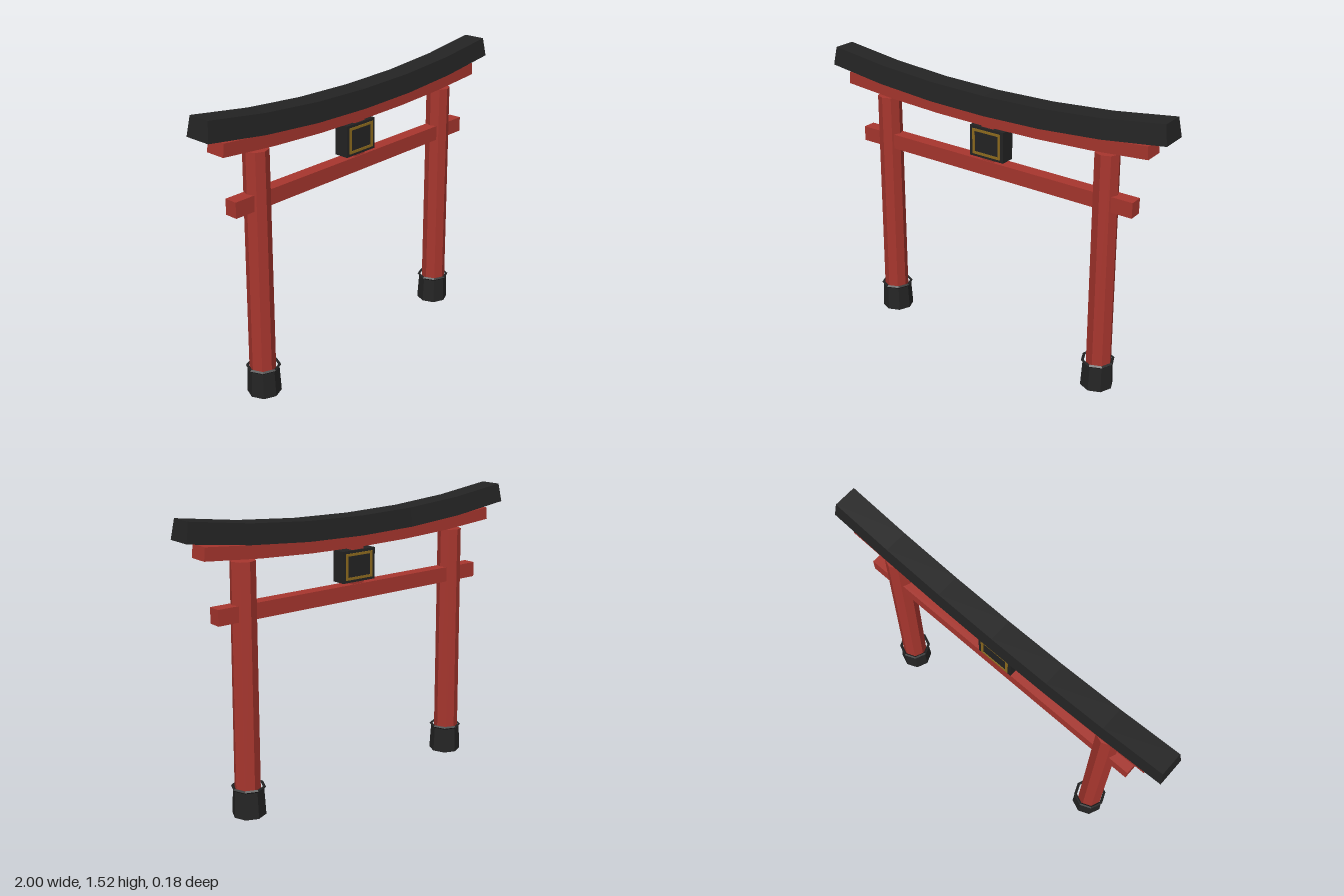
import * as THREE from 'three';

const mat = (name, color) => {
  const m = new THREE.MeshStandardMaterial({ color });
  m.name = name;
  return m;
};

export function createModel() {
  const red = mat('vermilion', 0xa8362e);
  const black = mat('black', 0x242424);
  const gold = mat('gold', 0x8f6c1e);
  const group = new THREE.Group();

  const add = (name, geometry, material, x = 0, y = 0, z = 0, parent = group) => {
    const mesh = new THREE.Mesh(geometry, material);
    mesh.name = name;
    mesh.position.set(x, y, z);
    parent.add(mesh);
    return mesh;
  };

  // Beam swept along an upward curve, cross-section kept square to the curve
  function curvedBeam({ half, y0, rise, power, height, zBottom, zTop, segments = 6 }) {
    const box = new THREE.BoxGeometry(2, 1, 2, segments, 1, 1);
    const p = box.attributes.position;
    for (let i = 0; i < p.count; i++) {
      const t = p.getX(i), up = p.getY(i) > 0;
      const slope = Math.sign(t) * rise * power * Math.abs(t) ** (power - 1) / half;
      const angle = Math.atan(slope);
      const h = up ? height : 0;
      p.setXYZ(i,
        t * half - Math.sin(angle) * h,
        y0 + rise * Math.abs(t) ** power + Math.cos(angle) * h,
        p.getZ(i) * (up ? zTop : zBottom));
    }
    const flat = box.toNonIndexed();
    flat.computeVertexNormals();
    return flat;
  }

  // Roof beam and the lintel under it
  add('roofBeam', curvedBeam({
    half: 1, y0: 1.342, rise: 0.077, power: 2.1, height: 0.099, zBottom: 0.072, zTop: 0.06,
  }), black);
  add('upperLintel', curvedBeam({
    half: 0.907, y0: 1.283, rise: 0.044, power: 2.1, height: 0.065, zBottom: 0.054, zTop: 0.054,
  }), red);

  // Straight tie beam and the short strut above it
  add('tieBeam', new THREE.BoxGeometry(1.67, 0.08, 0.07), red, 0, 1.048, 0);
  add('centreStrut', new THREE.BoxGeometry(0.072, 0.215, 0.06), red, 0, 1.187, 0);

  // Leaning octagonal posts with open sleeves and a thin collar
  const faceted = (geometry) => {
    const g = geometry.toNonIndexed();
    g.computeVertexNormals();
    return g;
  };
  const postHeight = 1.295, lean = 0.016;
  for (const side of [-1, 1]) {
    const post = new THREE.CylinderGeometry(0.063, 0.067, postHeight, 8);
    const p = post.attributes.position;
    for (let i = 0; i < p.count; i++) {
      p.setX(i, p.getX(i) - side * lean * (p.getY(i) / postHeight + 0.5));
    }
    const name = side > 0 ? 'left' : 'right';
    add(name + 'Post', faceted(post), red, side * 0.686, postHeight / 2, 0);
    add(name + 'Sleeve', faceted(new THREE.CylinderGeometry(0.079, 0.087, 0.15, 8, 1, true)),
      black, side * 0.679, 0.075, 0);
    const collar = new THREE.TorusGeometry(0.081, 0.008, 4, 8);
    collar.rotateX(Math.PI / 2);
    add(name + 'Collar', faceted(collar), black, side * 0.679, 0.148, 0);
  }

  // Plaque with a gilt border on both faces
  const plaque = new THREE.Group();
  plaque.name = 'plaque';
  plaque.position.set(0, 1.184, 0);
  group.add(plaque);
  add('plaqueBody', new THREE.BoxGeometry(0.206, 0.164, 0.08), black, 0, 0, 0, plaque);
  const rect = (target, w, h) => {
    target.moveTo(-w, -h);
    target.lineTo(w, -h);
    target.lineTo(w, h);
    target.lineTo(-w, h);
    target.closePath();
    return target;
  };
  const border = rect(new THREE.Shape(), 0.085, 0.068);
  border.holes.push(rect(new THREE.Path(), 0.072, 0.055));
  const borderGeometry = new THREE.ExtrudeGeometry(border, { depth: 0.005, bevelEnabled: false });
  for (const side of [-1, 1]) {
    const mesh = add(side > 0 ? 'frontBorder' : 'backBorder', borderGeometry, gold, 0, 0, side * 0.039, plaque);
    mesh.rotation.y = side > 0 ? 0 : Math.PI;
  }

  return group;
}
